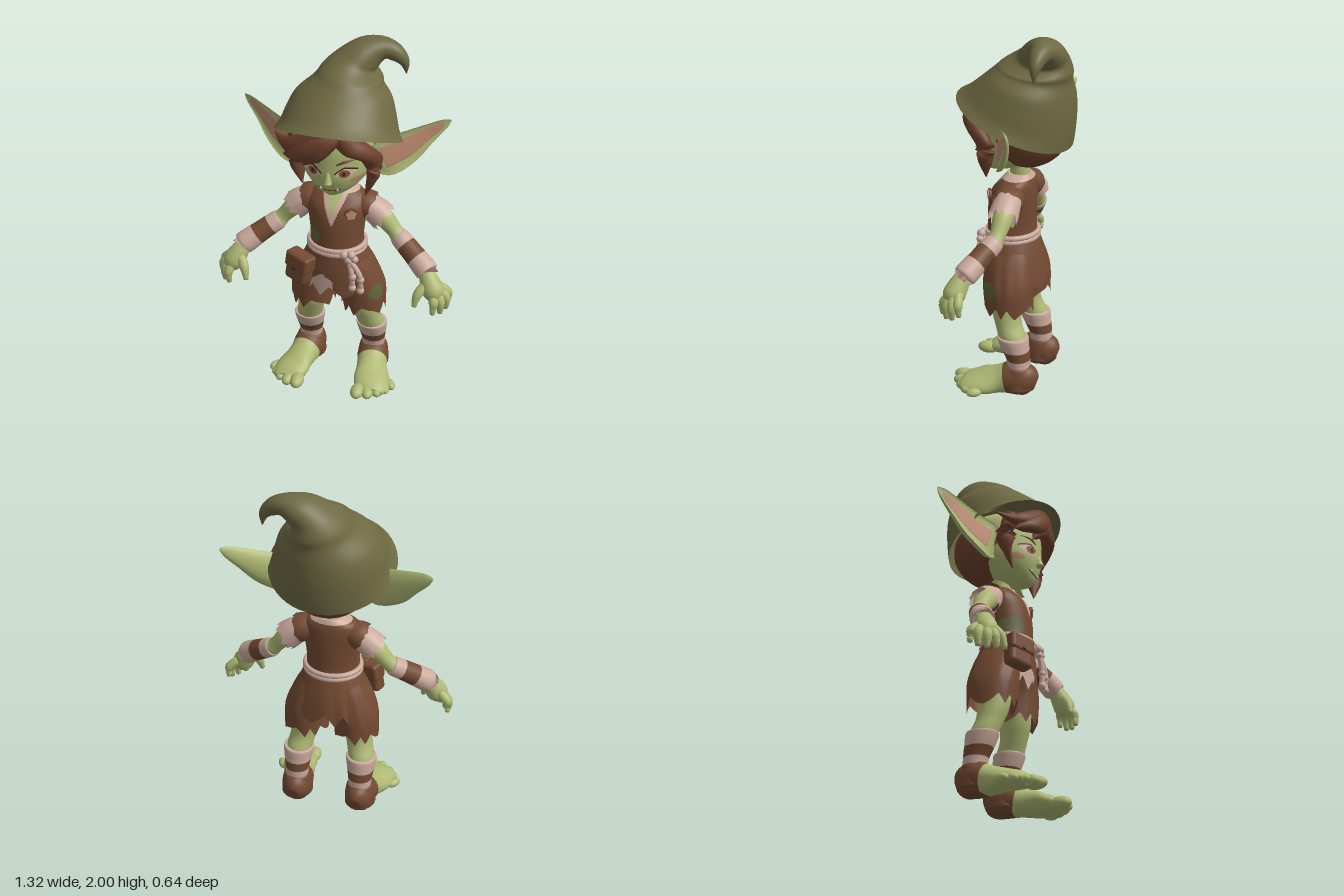
import * as THREE from 'three';
import { RoundedBoxGeometry } from 'three/addons/geometries/RoundedBoxGeometry.js';

const mat = (name, color, side = THREE.DoubleSide) => {
  const m = new THREE.MeshStandardMaterial({ color, side });
  m.name = name;
  return m;
};

export function createModel() {
  const root = new THREE.Group();
  root.name = 'forestGoblin';
  const skin = mat('skinGreen', 0xafb974), felt = mat('hatOlive', 0x6d6942), cloth = mat('clothBrown', 0x734a32),
    hair = mat('hairBrown', 0x6e422d), linen = mat('linenPink', 0xcaaa9c), blush = mat('blushPink', 0xc08c72),
    moss = mat('patchGreen', 0x5f6538), iris = mat('irisBrown', 0x8a5238), dark = mat('darkBrown', 0x3f281c),
    white = mat('eyeWhite', 0xd3b8a8);

  const add = (name, geo, material, parent = root) => {
    const m = new THREE.Mesh(geo, material);
    m.name = name;
    parent.add(m);
    return m;
  };

  // Smoothly interpolate rings of numbers: x, y, z, radiusX, radiusZ, pitch, roll
  const spline = (a, b, c, d, t) =>
    0.5 * (2 * b + (c - a) * t + (2 * a - 5 * b + 4 * c - d) * t * t + (3 * b - a - 3 * c + d) * t ** 3);
  const dense = (rings, steps) => {
    const out = [], at = i => rings[Math.min(Math.max(i, 0), rings.length - 1)];
    for (let i = 0; i < rings.length - 1; i++)
      for (let k = 0; k < steps; k++)
        out.push(at(i).map((v, q) => spline(at(i - 1)[q], v, at(i + 1)[q], at(i + 2)[q], k / steps)));
    out.push(rings.at(-1));
    return out;
  };

  // Skin a tube through rings; rings follow the path unless flat or given pitch and roll
  function loft(name, rings, material, o = {}) {
    const { n = 24, steps = 5, flat = false, caps = true, hem = 0, teeth = 9, floor = -9, paint, section, parent } = o;
    const d = dense(rings, steps), pos = [], faces = [], up = new THREE.Vector3(0, 1, 0);
    const centre = d.map(r => new THREE.Vector3(r[0], r[1], r[2]));
    d.forEach((r, i) => {
      const q = new THREE.Quaternion(), u = i / (d.length - 1);
      if (r.length > 5) q.setFromEuler(new THREE.Euler(r[5], 0, r[6], 'ZXY'));
      else if (!flat) q.setFromUnitVectors(up, centre[Math.min(i + 1, d.length - 1)].clone().sub(centre[Math.max(i - 1, 0)]).normalize());
      for (let j = 0; j < n; j++) {
        const a = j / n * Math.PI * 2, s = section ? section(a) : [Math.cos(a), Math.sin(a)];
        const saw = Math.abs(((a * teeth / Math.PI / 2 + 0.3 * Math.sin(a * 3)) % 1 + 1) % 1 - 0.5) * 2;
        const p = new THREE.Vector3(s[0] * Math.max(r[3], 0.001), -hem * saw * (1 - u) ** 2, s[1] * Math.max(r[4], 0.001));
        p.applyQuaternion(q).add(centre[i]);
        pos.push(p.x, Math.max(p.y, floor), p.z);
      }
    });
    for (let i = 0; i < d.length - 1; i++)
      for (let j = 0; j < n; j++) {
        const k = (j + 1) % n, a = i * n + j, b = i * n + k, c = a + n, e = b + n;
        faces.push([a, c, b, i], [b, c, e, i]);
      }
    if (caps) {
      const c0 = d.length * n, last = c0 - n;
      for (const c of [centre[0], centre.at(-1)]) pos.push(c.x, Math.max(c.y, floor), c.z);
      for (let j = 0; j < n; j++) {
        const k = (j + 1) % n;
        faces.push([c0, j, k, 0], [c0 + 1, last + k, last + j, d.length - 2]);
      }
    }
    const g = new THREE.BufferGeometry(), sets = new Map(), index = [], mid = new THREE.Vector3();
    for (const f of faces) {
      mid.set(0, 0, 0);
      for (let v = 0; v < 3; v++) mid.add(new THREE.Vector3().fromArray(pos, f[v] * 3));
      const m = paint ? paint(mid.divideScalar(3), (f[3] + 0.5) / (d.length - 1)) : material;
      if (!sets.has(m)) sets.set(m, []);
      sets.get(m).push(f[0], f[1], f[2]);
    }
    [...sets.values()].forEach((s, i) => { g.addGroup(index.length, s.length, i); index.push(...s); });
    g.setAttribute('position', new THREE.Float32BufferAttribute(pos, 3));
    g.setIndex(index);
    g.computeVertexNormals();
    const mats = [...sets.keys()];
    if (mats.length === 1) g.clearGroups();
    return add(name, g, mats.length > 1 ? mats : mats[0], parent);
  }
  const blob = (name, m, x, y, z, a, b, c, parent) => add(name, new THREE.SphereGeometry(1, 20, 14).scale(a, b, c).translate(x, y, z), m, parent);

  // Front height of an upright loft, and thin ovals laid on it
  const frontOf = rings => {
    const d = dense(rings, 8);
    return (x, y) => {
      const i = Math.min(Math.max(d.findIndex(r => r[1] > y), 1), d.length - 1), a = d[i - 1], b = d[i];
      const r = a.map((v, q) => v + (b[q] - v) * (y - a[1]) / (b[1] - a[1]));
      return r[2] + r[4] * Math.sqrt(Math.max(0, 1 - ((x - r[0]) / r[3]) ** 2));
    };
  };
  function oval(name, m, surf, cx, cy, w, h, turn, lift, sharp = 0) {
    const g = new THREE.RingGeometry(0.01, 1, 28, 6), p = g.attributes.position;
    for (let i = 0; i < p.count; i++) {
      const u = p.getX(i) * w, v = p.getY(i) * h * (1 - sharp * Math.abs(p.getX(i)));
      const x = cx + u * Math.cos(turn) - v * Math.sin(turn), y = cy + u * Math.sin(turn) + v * Math.cos(turn);
      p.setXYZ(i, x, y, surf(x, y) + lift);
    }
    g.computeVertexNormals();
    return add(name, g, m);
  }

  // Head, neck and face
  const headRings = [[0, 1.235, 0.125, 0.03, 0.03], [0, 1.26, 0.085, 0.09, 0.09], [0, 1.305, 0.045, 0.145, 0.15], [0, 1.36, 0.015, 0.182, 0.195],
    [0, 1.43, 0, 0.195, 0.212], [0, 1.52, -0.01, 0.2, 0.22], [0, 1.6, -0.02, 0.18, 0.2], [0, 1.66, -0.02, 0.1, 0.12]];
  loft('head', headRings, skin, { flat: true, n: 40 });
  loft('neck', [[0, 1.12, -0.01, 0.07, 0.065], [0, 1.2, -0.02, 0.055, 0.055], [0, 1.32, -0.01, 0.055, 0.06]], skin, { flat: true });
  const face = frontOf(headRings);
  loft('nose', [[0, 1.325, 0.2, 0.01, 0.012], [0, 1.335, 0.214, 0.022, 0.022], [0, 1.352, 0.21, 0.018, 0.022], [0, 1.4, 0.2, 0.012, 0.012]], skin, { flat: true });
  loft('mouth', [-0.06, -0.03, 0, 0.03, 0.06].map(x => [x, 1.28 + 4 * x * x, face(x, 1.28 + 4 * x * x), 0.0025, 0.0025]), dark, { n: 8 });
  for (const s of [-1, 1]) {
    oval('cheekBlush', blush, face, s * 0.138, 1.35, 0.032, 0.016, s * 0.2, 0.002);
    oval('eyeLine', dark, face, s * 0.09, 1.404, 0.057, 0.032, s * 0.2, 0.003, 0.5);
    oval('eye', white, face, s * 0.09, 1.398, 0.054, 0.029, s * 0.2, 0.005, 0.5);
    oval('iris', iris, face, s * 0.085, 1.397, 0.027, 0.022, 0, 0.007);
    oval('pupil', dark, face, s * 0.083, 1.397, 0.009, 0.012, 0, 0.009);
    const brow = (x, y, r) => [s * x, y, face(s * x, y) + 0.002, r, r * 0.6];
    loft('eyebrow', [brow(0.045, 1.448, 0.004), brow(0.085, 1.466, 0.008), brow(0.135, 1.472, 0.002)], hair, { n: 10 });
    const fang = add('fang', new THREE.ConeGeometry(0.007, 0.022, 8), white);
    fang.position.set(s * 0.045, 1.298, face(s * 0.045, 1.298));

    // Long hollow ears, upper rim folded forward, with a pink inside
    const ear = (k, z) => [[0.16, 1.4, 0.03, 0.05, 0.04], [0.245, 1.42, 0.01, 0.1, 0.055], [0.35, 1.468, -0.045, 0.09, 0.05],
      [0.45, 1.535, -0.1, 0.055, 0.035], [0.53, 1.585, -0.14, 0.028, 0.02], [0.565, 1.605, -0.16, 0.005, 0.005]]
      .map(r => [s * r[0], r[1], r[2] + z, r[3] * k, r[4] * k]);
    const fold = a => -s * 0.75 * Math.cos(a);
    loft('ear', ear(1, 0.015), skin, { section: a => [Math.cos(a), fold(a) + Math.sin(a) * (Math.sin(a) > 0 ? -0.3 : 1.1)] });
    loft('innerEar', ear(0.56, 0.009).slice(1, 5), blush, { section: a => [Math.cos(a), fold(a) + 0.1 * Math.sin(a)] });
  }

  // Hair: back cap, swept fringe and side locks
  blob('backHair', hair, 0, 1.46, -0.065, 0.228, 0.19, 0.215);
  const lock = pts => loft('hairLock', pts, hair, { n: 16, steps: 6 });
  lock([[0.1, 1.63, 0.19, 0.03, 0.03], [-0.04, 1.592, 0.235, 0.062, 0.04], [-0.18, 1.535, 0.2, 0.05, 0.04], [-0.25, 1.52, 0.15, 0.03, 0.025], [-0.32, 1.535, 0.09, 0.003, 0.003]]);
  lock([[0.08, 1.62, 0.21, 0.03, 0.03], [-0.03, 1.573, 0.25, 0.055, 0.04], [-0.13, 1.52, 0.24, 0.055, 0.04], [-0.2, 1.485, 0.2, 0.035, 0.03], [-0.25, 1.455, 0.17, 0.003, 0.003]]);
  lock([[0.07, 1.62, 0.21, 0.03, 0.03], [0, 1.57, 0.25, 0.045, 0.035], [-0.07, 1.51, 0.245, 0.045, 0.035], [-0.13, 1.435, 0.225, 0.003, 0.003]]);
  lock([[0.02, 1.62, 0.21, 0.04, 0.03], [0.11, 1.58, 0.22, 0.055, 0.035], [0.185, 1.52, 0.165, 0.05, 0.045], [0.22, 1.43, 0.1, 0.035, 0.055], [0.205, 1.34, 0.1, 0.025, 0.04], [0.175, 1.24, 0.11, 0.003, 0.003]]);
  lock([[-0.17, 1.57, 0.12, 0.05, 0.05], [-0.205, 1.48, 0.1, 0.035, 0.06], [-0.195, 1.37, 0.1, 0.025, 0.045], [-0.165, 1.265, 0.12, 0.003, 0.003]]);

  // Floppy pointed hat, tipped back with folds and a curl to the side
  loft('hat', [[0, 1.525, 0.01, 0.342, 0.335, -0.41, 0], [0, 1.57, -0.02, 0.312, 0.31, -0.38, 0], [0, 1.65, -0.055, 0.285, 0.275, -0.3, 0],
    [0.005, 1.725, -0.085, 0.25, 0.238, -0.24, 0], [0.025, 1.79, -0.105, 0.185, 0.205, -0.16, -0.08], [0.04, 1.83, -0.125, 0.162, 0.19, -0.1, -0.2],
    [0.062, 1.885, -0.16, 0.108, 0.14, -0.06, -0.5], [0.12, 1.925, -0.18, 0.085, 0.11, 0, -0.95], [0.195, 1.945, -0.2, 0.056, 0.065, 0, -1.5],
    [0.255, 1.922, -0.2, 0.045, 0.045, 0, -2.1], [0.298, 1.875, -0.2, 0.026, 0.026, 0, -2.7], [0.308, 1.815, -0.2, 0.003, 0.003, 0, -3]],
    felt, { n: 48, steps: 6, caps: false });

  // Sleeveless tunic with a linen neckline and a moss patch
  const tunicRings = [[0, 0.84, 0.025, 0.155, 0.138], [0, 0.93, 0.028, 0.146, 0.132], [0, 1.03, 0.025, 0.155, 0.13], [0, 1.12, 0.015, 0.168, 0.12],
    [0, 1.18, -0.005, 0.145, 0.095], [0, 1.225, -0.018, 0.068, 0.068]];
  loft('tunic', tunicRings, cloth, { flat: true, n: 144, steps: 18, paint: p => {
    const v = Math.abs(p.x);
    if (p.z > 0 && v < (p.y - 1.1) * 0.42) return skin;
    if ((p.z > 0 && v < (p.y - 1.035) * 0.42) || p.y > 1.2) return linen;
    return p.z > 0 && Math.hypot(p.x + 0.11, p.y - 0.955) < 0.045 ? moss : cloth;
  } });
  const chest = frontOf(tunicRings);
  const badge = add('badge', new THREE.CylinderGeometry(0.036, 0.036, 0.014, 20).rotateX(Math.PI / 2), cloth);
  badge.position.set(0.1, 1.11, chest(0.1, 1.11) + 0.004);
  badge.rotation.y = 0.5;
  const flower = new THREE.Shape(Array.from({ length: 10 }, (_, i) => {
    const a = i * Math.PI / 5, r = i % 2 ? 0.023 : 0.031;
    return new THREE.Vector2(r * Math.sin(a), r * Math.cos(a));
  }));
  add('badgeFlower', new THREE.ExtrudeGeometry(flower, { depth: 0.006, bevelEnabled: false }).translate(0, 0, 0.006), blush, badge);

  // Ragged skirt of the tunic with a linen tear
  loft('skirt', [[0, 0.66, -0.002, 0.236, 0.172], [0, 0.76, 0.01, 0.2, 0.162], [0, 0.87, 0.025, 0.156, 0.14]], cloth, {
    flat: true, n: 120, steps: 14, caps: false, hem: 0.07, teeth: 11,
    paint: p => p.z > 0 && p.y < 0.735 - Math.abs(p.x + 0.05) * 0.7 && p.x > -0.125 && p.x < 0.01 ? linen : cloth });

  // Rope belt with a knot and hanging ends
  for (const y of [0.864, 0.888])
    add('belt', new THREE.TorusGeometry(1, 0.1, 10, 48).rotateX(Math.PI / 2).scale(0.153, 0.15, 0.138).translate(0, y, 0.025), linen);
  for (const [x, y, r] of [[0.075, 0.88, 0.024], [0.115, 0.885, 0.024], [0.1, 0.85, 0.022], [0.135, 0.86, 0.02]]) blob('knot', linen, x, y, 0.165, r, r, r);
  for (const [x, y] of [[0.125, 0.68], [0.17, 0.67]]) {
    loft('ropeEnd', [[0.1, 0.86, 0.165, 0.015, 0.015], [x - 0.005, 0.77, 0.175, 0.015, 0.015], [x, y, 0.17, 0.015, 0.015]], linen, { n: 12 });
    for (const k of [0, 0.07]) blob('ropeKnot', linen, x, y + k, 0.173, 0.021, 0.022, 0.02);
  }

  // Belt pouch
  const pouch = new THREE.Group();
  pouch.name = 'pouch';
  pouch.position.set(-0.178, 0.752, 0.155);
  pouch.rotation.set(-0.1, -0.45, -0.15);
  root.add(pouch);
  add('pouchBag', new RoundedBoxGeometry(0.15, 0.17, 0.08, 4, 0.025), cloth, pouch);
  add('pouchFlap', new RoundedBoxGeometry(0.158, 0.1, 0.092, 4, 0.02).translate(0, 0.042, 0.002), cloth, pouch);
  blob('pouchButton', dark, 0, 0.01, 0.048, 0.01, 0.01, 0.006, pouch);

  for (const s of [-1, 1]) {
    const side = rings => rings.map(([x, ...r]) => [s * x, ...r]);
    const finger = (name, pts, r) => loft(name, side(pts.map((p, i) => [...p, r * (i === pts.length - 1 ? 0.5 : 1), r * (i === pts.length - 1 ? 0.5 : 1)])), skin, { n: 12 });

    // Shorts, with a moss patch on the left thigh only
    loft('shortsLeg', side([[0.145, 0.52, -0.005, 0.124, 0.135], [0.14, 0.63, 0, 0.122, 0.14], [0.105, 0.75, 0.01, 0.108, 0.13], [0.08, 0.84, 0.02, 0.075, 0.11]]), cloth, {
      flat: true, n: 96, steps: 12, caps: false, hem: 0.06, teeth: 8,
      paint: p => p.z > 0 && p.x > 0.15 && Math.hypot(p.z - 0.075, p.y - 0.61) < 0.045 ? moss : cloth });

    // Leg, wraps and ankle cuff
    loft('leg', side([[0.185, 0.2, -0.07, 0.06, 0.06], [0.182, 0.32, -0.04, 0.072, 0.075], [0.165, 0.4, -0.01, 0.074, 0.074], [0.15, 0.48, 0.005, 0.08, 0.085], [0.13, 0.62, 0.005, 0.09, 0.1]]), skin, { flat: true });
    loft('legWrap', side([[0.187, 0.13, -0.082, 0.064, 0.062], [0.186, 0.2, -0.075, 0.068, 0.066], [0.185, 0.27, -0.055, 0.08, 0.079], [0.183, 0.325, -0.042, 0.087, 0.087], [0.183, 0.333, -0.04, 0.078, 0.078]]), linen, {
      flat: true, steps: 8, paint: (p, u) => u > 0.25 && u < 0.44 ? cloth : linen });
    loft('ankleCuff', side([[0.188, 0.03, -0.07, 0.088, 0.1], [0.188, 0.1, -0.07, 0.086, 0.09], [0.187, 0.15, -0.078, 0.074, 0.073], [0.187, 0.16, -0.078, 0.062, 0.06]]), cloth, { flat: true });

    // Foot in an open-toed shoe
    loft('foot', side([[0.185, 0.06, -0.175, 0.03, 0.045], [0.185, 0.07, -0.14, 0.07, 0.09], [0.19, 0.08, -0.06, 0.088, 0.1], [0.205, 0.065, 0.03, 0.085, 0.075], [0.23, 0.05, 0.12, 0.102, 0.058], [0.242, 0.038, 0.195, 0.095, 0.046], [0.245, 0.03, 0.235, 0.07, 0.028]]), skin, {
      n: 32, floor: 0.004, paint: (p, u) => u < 0.44 ? cloth : skin });
    [[0.178, 0.245, 0.039, -0.05], [0.232, 0.236, 0.034, 0.15], [0.277, 0.208, 0.031, 0.3], [0.312, 0.17, 0.029, 0.45], [0.338, 0.13, 0.027, 0.6]].forEach(([x, z, r, turn]) => {
      const toe = blob('toe', skin, 0, 0, 0, r, r * 0.92, r * 1.6);
      toe.position.set(s * x, r * 0.92, z);
      toe.rotation.y = s * turn;
    });

    // Arm, ragged sleeve, shoulder cap and forearm wrap
    loft('arm', side([[0.13, 1.13, -0.01, 0.055, 0.055], [0.24, 1.05, -0.01, 0.055, 0.055], [0.31, 0.975, -0.005, 0.043, 0.043], [0.36, 0.925, 0.015, 0.05, 0.05], [0.52, 0.81, 0.1, 0.042, 0.042]]), skin);
    loft('sleeve', side([[0.235, 1.055, -0.01, 0.08, 0.08], [0.19, 1.09, -0.01, 0.074, 0.075], [0.12, 1.125, -0.01, 0.06, 0.065]]), linen, { n: 48, caps: false, hem: 0.035, teeth: 9 });
    loft('shoulderCap', side([[0.172, 1.108, -0.01, 0.08, 0.085], [0.14, 1.122, -0.01, 0.074, 0.08], [0.09, 1.14, -0.01, 0.05, 0.06]]), cloth, { n: 32, caps: false, hem: 0.015 });
    loft('armWrap', side([[0.335, 0.945, 0, 0.044, 0.044], [0.345, 0.938, 0.005, 0.054, 0.054], [0.43, 0.878, 0.05, 0.058, 0.058], [0.512, 0.817, 0.095, 0.064, 0.064], [0.52, 0.81, 0.1, 0.05, 0.05]]), linen, {
      steps: 8, paint: (p, u) => u > 0.37 && u < 0.57 ? cloth : linen });

    // Hand with four fingers and a thumb
    loft('palm', side([[0.505, 0.825, 0.095, 0.038, 0.038], [0.535, 0.775, 0.12, 0.052, 0.052], [0.565, 0.72, 0.14, 0.06, 0.06], [0.585, 0.685, 0.145, 0.042, 0.042]]), skin);
    finger('finger', [[0.585, 0.74, 0.105], [0.635, 0.695, 0.09], [0.637, 0.635, 0.085]], 0.025);
    finger('finger', [[0.59, 0.725, 0.125], [0.632, 0.68, 0.125], [0.632, 0.612, 0.125]], 0.026);
    finger('finger', [[0.585, 0.715, 0.15], [0.61, 0.67, 0.165], [0.61, 0.603, 0.165]], 0.026);
    finger('finger', [[0.565, 0.715, 0.165], [0.58, 0.67, 0.195], [0.575, 0.61, 0.2]], 0.025);
    finger('thumb', [[0.53, 0.765, 0.14], [0.49, 0.715, 0.185], [0.475, 0.645, 0.205]], 0.026);
  }
  return root;
}
